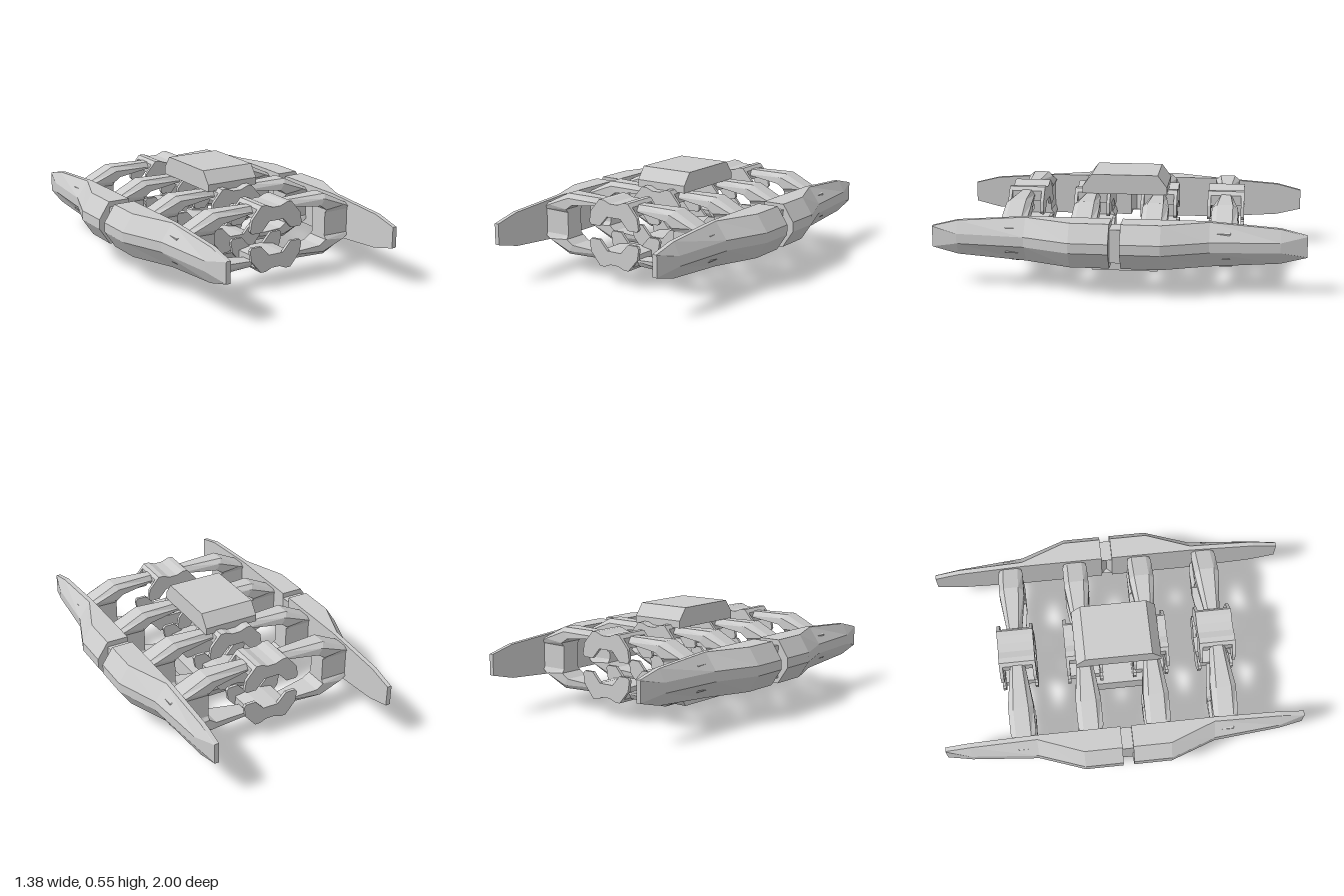
import * as THREE from 'three';

const material = new THREE.MeshStandardMaterial({ color: 0xcccccc, flatShading: true });

// Skin a list of closed rings (counter-clockwise about the direction of advance) and cap both ends.
function loft(rings) {
  const pos = [];
  const n = rings[0].length;
  const tri = (a, b, c) => pos.push(...a, ...b, ...c);
  for (let i = 0; i < rings.length - 1; i++) {
    for (let j = 0; j < n; j++) {
      const k = (j + 1) % n;
      const [a, b, c, d] = [rings[i][j], rings[i][k], rings[i + 1][k], rings[i + 1][j]];
      tri(a, b, c);
      tri(a, c, d);
    }
  }
  const first = rings[0], last = rings[rings.length - 1];
  for (let j = 1; j < n - 1; j++) {
    tri(first[0], first[j + 1], first[j]);
    tri(last[0], last[j], last[j + 1]);
  }
  const geo = new THREE.BufferGeometry();
  geo.setAttribute('position', new THREE.Float32BufferAttribute(pos, 3));
  geo.computeVertexNormals();
  return geo;
}

// Extrude a half outline (x >= 0, listed from top to bottom) mirrored in x, centred in depth.
function symmetricExtrude(half, depth) {
  const outline = [...half, ...half.map(([x, y]) => [-x, y]).reverse()];
  const shape = new THREE.Shape(outline.map(([x, y]) => new THREE.Vector2(x, y)));
  const geo = new THREE.ExtrudeGeometry(shape, { depth, bevelEnabled: false });
  return geo.translate(0, 0, -depth / 2);
}

// Half of a side hull: [z, ridge x, outer x, half height, outer half height]
function hullGeometry() {
  const inner = 0.507;
  const stations = [
    [0.03, 0.628, 0.69, 0.12, 0.027],
    [0.24, 0.628, 0.69, 0.12, 0.027],
    [0.49, 0.533, 0.6, 0.12, 0.027],
    [0.86, 0.533, 0.567, 0.093, 0.027],
    [1.0, 0.53, 0.533, 0.058, 0.056],
  ];
  return loft(stations.map(([z, ridge, outer, h, m]) => [
    [inner, -h, z], [ridge, -h, z], [outer, -m, z],
    [outer, m, z], [ridge, h, z], [inner, h, z],
  ]));
}

// C-shaped rib: [outer x, outer y, inner x, inner y, half width], mirrored below the middle
function ribGeometry() {
  const upper = [
    [0.11, 0.168, 0.11, 0.132, 0.043],
    [0.358, 0.172, 0.315, 0.112, 0.07],
    [0.505, 0.1, 0.355, 0.085, 0.07],
    [0.568, 0.068, 0.355, 0.065, 0.055],
  ];
  const lower = upper.map(([ox, oy, ix, iy, w]) => [ox, -oy, ix, -iy, w]).reverse();
  return loft([...upper, ...lower].map(([ox, oy, ix, iy, w]) => {
    const t = 0.028 / Math.hypot(ix - ox, iy - oy);
    const bx = ox + (ix - ox) * t, by = oy + (iy - oy) * t;
    const a = w * 0.6;
    return [
      [ox, oy, -a], [ox, oy, a], [bx, by, w],
      [ix, iy, w], [ix, iy, -w], [bx, by, -w],
    ];
  }));
}

export function createModel() {
  const model = new THREE.Group();
  model.name = 'model';
  const core = new THREE.Group();
  core.name = 'frame';
  core.position.y = 0.277;
  model.add(core);

  const add = (parent, name, geo, x = 0, y = 0, z = 0) => {
    const mesh = new THREE.Mesh(geo, material);
    mesh.name = name;
    mesh.position.set(x, y, z);
    parent.add(mesh);
    return mesh;
  };

  // Side hulls: four half-turned copies of one half
  const hull = hullGeometry();
  add(core, 'leftFrontHull', hull);
  add(core, 'leftRearHull', hull).rotation.x = Math.PI;
  add(core, 'rightFrontHull', hull).rotation.z = Math.PI;
  add(core, 'rightRearHull', hull).rotation.y = Math.PI;

  // Notched links joining the hull halves
  const link = loft([-0.09, 0.09].map((y) => [
    [0.507, y, -0.031], [0.535, y, 0], [0.507, y, 0.031], [0.628, y, 0.031], [0.628, y, -0.031],
  ]));
  add(core, 'leftHullLink', link);
  add(core, 'rightHullLink', link).rotation.y = Math.PI;

  // Clamp outlines
  const plate = symmetricExtrude([
    [0.025, 0.167], [0.065, 0.183], [0.095, 0.183], [0.155, 0.113], [0.165, 0.053],
    [0.153, 0.038], [0.095, 0.038], [0.045, 0.093],
  ], 0.018);
  const body = symmetricExtrude([
    [0.025, 0.167], [0.065, 0.183], [0.095, 0.183], [0.112, 0.163], [0.112, 0.105], [0.045, 0.093],
  ], 0.18);

  // Ribs with a clamp above and below at each station
  const rib = ribGeometry();
  for (const z of [-0.563, -0.19, 0.185, 0.56]) {
    add(core, 'leftRib', rib, 0, 0, z);
    add(core, 'rightRib', rib, 0, 0, z).rotation.y = Math.PI;
    for (const upper of [true, false]) {
      const clamp = new THREE.Group();
      clamp.name = upper ? 'upperClamp' : 'lowerClamp';
      clamp.position.z = z;
      if (!upper) clamp.rotation.z = Math.PI;
      add(clamp, 'clampBody', body);
      add(clamp, 'clampFrontPlate', plate, 0, 0, 0.092);
      add(clamp, 'clampRearPlate', plate, 0, 0, -0.092);
      core.add(clamp);
    }
  }

  // Chamfered housings on top and underneath
  const housing = symmetricExtrude([[0.185, 0.277], [0.237, 0.208], [0.237, 0.168]], 0.315);
  housing.rotateY(Math.PI / 2);
  add(core, 'topHousing', housing);
  add(core, 'bottomHousing', housing).rotation.z = Math.PI;

  return model;
}
